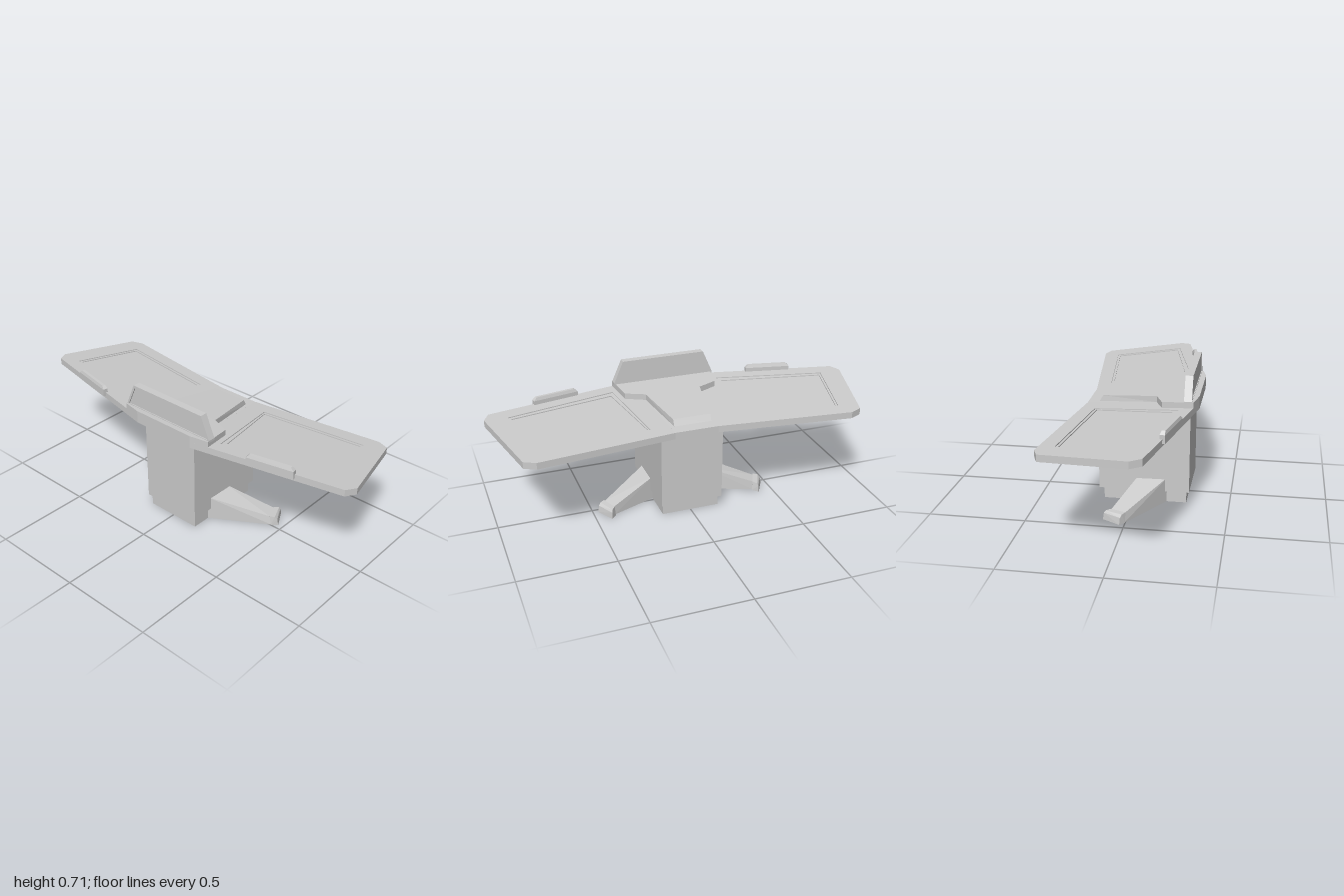
import * as THREE from 'three';
import { ConvexGeometry } from 'three/addons/geometries/ConvexGeometry.js';

const material = new THREE.MeshStandardMaterial({ color: 0xcccccc, flatShading: true });
const SLOPE = 0.087;

// The desk falls away from its front edge: one plane in the middle, one per wing.
const centreDrop = (x, z) => SLOPE * (0.335 - z);
const wingDrop = (x, z) => SLOPE * (0.365 - 0.204 * Math.abs(x) - 0.979 * z);
const noDrop = () => 0;

const mirrorX = (pts) => pts.map(([x, ...rest]) => [-x, ...rest]);
const symmetric = (half) => [...half, ...mirrorX(half).reverse()];

function createModel() {
  const model = new THREE.Group();

  const add = (name, geometry, parent = model) => {
    const mesh = new THREE.Mesh(geometry, material);
    mesh.name = name;
    parent.add(mesh);
    return mesh;
  };

  // Upright prism over an [x, z] outline, with its height lowered by a drop rule
  const prism = (outline, bottom, top, drop = noDrop, hole = null) => {
    const toPoints = (pts) => pts.map(([x, z]) => new THREE.Vector2(x, -z));
    const shape = new THREE.Shape(toPoints(outline));
    if (hole) shape.holes.push(new THREE.Path(toPoints(hole)));
    const geometry = new THREE.ExtrudeGeometry(shape, { depth: 1, bevelEnabled: false });
    geometry.rotateX(-Math.PI / 2);
    const p = geometry.attributes.position;
    for (let i = 0; i < p.count; i++) {
      p.setY(i, bottom + p.getY(i) * (top - bottom) - drop(p.getX(i), p.getZ(i)));
    }
    geometry.computeVertexNormals();
    return geometry;
  };

  const hull = (pts) => new ConvexGeometry(pts.map((p) => new THREE.Vector3(...p)));

  // Pedestal and its recessed plinth
  const rect = (x, front, back) => symmetric([[x, front], [x, back]]);
  add('plinth', prism(rect(0.155, 0.275, -0.16), 0, 0.07));
  const pedestal = prism(rect(0.168, 0.29, -0.185), 0.062, 0.54);
  const pos = pedestal.attributes.position;
  for (let i = 0; i < pos.count; i++) {
    if (pos.getY(i) > 0.3) pos.setY(i, 0.535 - centreDrop(0, pos.getZ(i)));
  }
  pedestal.computeVertexNormals();
  add('pedestal', pedestal);

  // Desk top: centre strip plus two wings with stepped, sunken screens
  add('deskCentre', prism(symmetric([[0.18, 0.335], [0.115, -0.25]]), 0.53, 0.565, centreDrop));
  const wing = [[0.18, 0.335], [0.97, 0.17], [1, 0.115], [0.89, -0.315], [0.83, -0.34], [0.115, -0.25]];
  const screenOuter = [[0.225, -0.19], [0.793, -0.255], [0.88, 0.115], [0.298, 0.245]];
  const screenInner = [[0.235, -0.178], [0.785, -0.242], [0.866, 0.103], [0.315, 0.215]];

  // Root and tip sections of a leg, and the foot on its end
  const leg = [
    [0.15, 0, 0.175], [0.15, 0.135, 0.175], [0.15, 0, 0.02], [0.15, 0.133, 0.02],
    [0.443, 0, -0.004], [0.43, 0.048, -0.004], [0.4, 0, -0.08], [0.4, 0.048, -0.078],
  ];
  const foot = [
    [0.443, 0, 0], [0.433, 0.053, 0], [0.392, 0, -0.086], [0.397, 0.05, -0.08],
    [0.472, 0, -0.025], [0.456, 0.05, -0.014], [0.467, 0.036, -0.022],
    [0.42, 0, -0.117], [0.415, 0.047, -0.104], [0.419, 0.036, -0.112],
  ];

  // Grip profile, bevelled along its ends and upper edges
  const grip = [];
  for (const sx of [-1, 1]) {
    for (const sz of [-1, 1]) {
      grip.push([sx * 0.124, -0.029, sz * 0.013], [sx * 0.124, 0.012, sz * 0.013],
        [sx * 0.108, 0.028, sz * 0.008]);
    }
  }

  for (const [side, s] of [['left', 1], ['right', -1]]) {
    const flip = (pts) => (s > 0 ? pts : mirrorX(pts));
    const group = new THREE.Group();
    group.name = side + 'Side';
    model.add(group);
    const outline = flip(wing);
    add(side + 'WingBase', prism(outline, 0.53, 0.555, wingDrop), group);
    add(side + 'ScreenLip', prism(outline, 0.555, 0.56, wingDrop, flip(screenInner)), group);
    add(side + 'WingSurface', prism(outline, 0.56, 0.565, wingDrop, flip(screenOuter)), group);
    add(side + 'Leg', hull(flip(leg)), group);
    add(side + 'Foot', hull(flip(foot)), group);
    const handle = add(side + 'Grip', hull(grip), group);
    handle.position.set(s * 0.607, 0.573, 0.246);
    handle.rotation.y = s * 0.205;
  }

  // Raised console in the middle, with a bevelled back end
  const consoleHalf = [[0.18, 0.335], [0.28, 0.314], [0.255, 0.155], [0.152, 0.115], [0.1, -0.19]];
  const consoleGeometry = prism(symmetric(consoleHalf), 0.565, 0.597, centreDrop);
  const cp = consoleGeometry.attributes.position;
  for (let i = 0; i < cp.count; i++) {
    if (cp.getZ(i) < -0.18 && cp.getY(i) > 0.53) cp.setZ(i, -0.172);
  }
  consoleGeometry.computeVertexNormals();
  add('console', consoleGeometry);

  // Upright display: tapered plate with a thin raised rim on its front
  const plate = (pts, depth, z, hole) => {
    const vectors = (list) => list.map(([x, y]) => new THREE.Vector2(x, y));
    const shape = new THREE.Shape(vectors(pts));
    if (hole) shape.holes.push(new THREE.Path(vectors(hole)));
    return new THREE.ExtrudeGeometry(shape, { depth, bevelEnabled: false }).translate(0, 0, z);
  };
  const panel = symmetric([[0.28, 0.585], [0.28, 0.597], [0.228, 0.715]]);
  const inset = symmetric([[0.268, 0.598], [0.22, 0.702]]);
  add('displayPlate', plate(panel, 0.034, 0.267));
  add('displayRim', plate(panel, 0.005, 0.301, inset));

  return model;
}

export { createModel };
